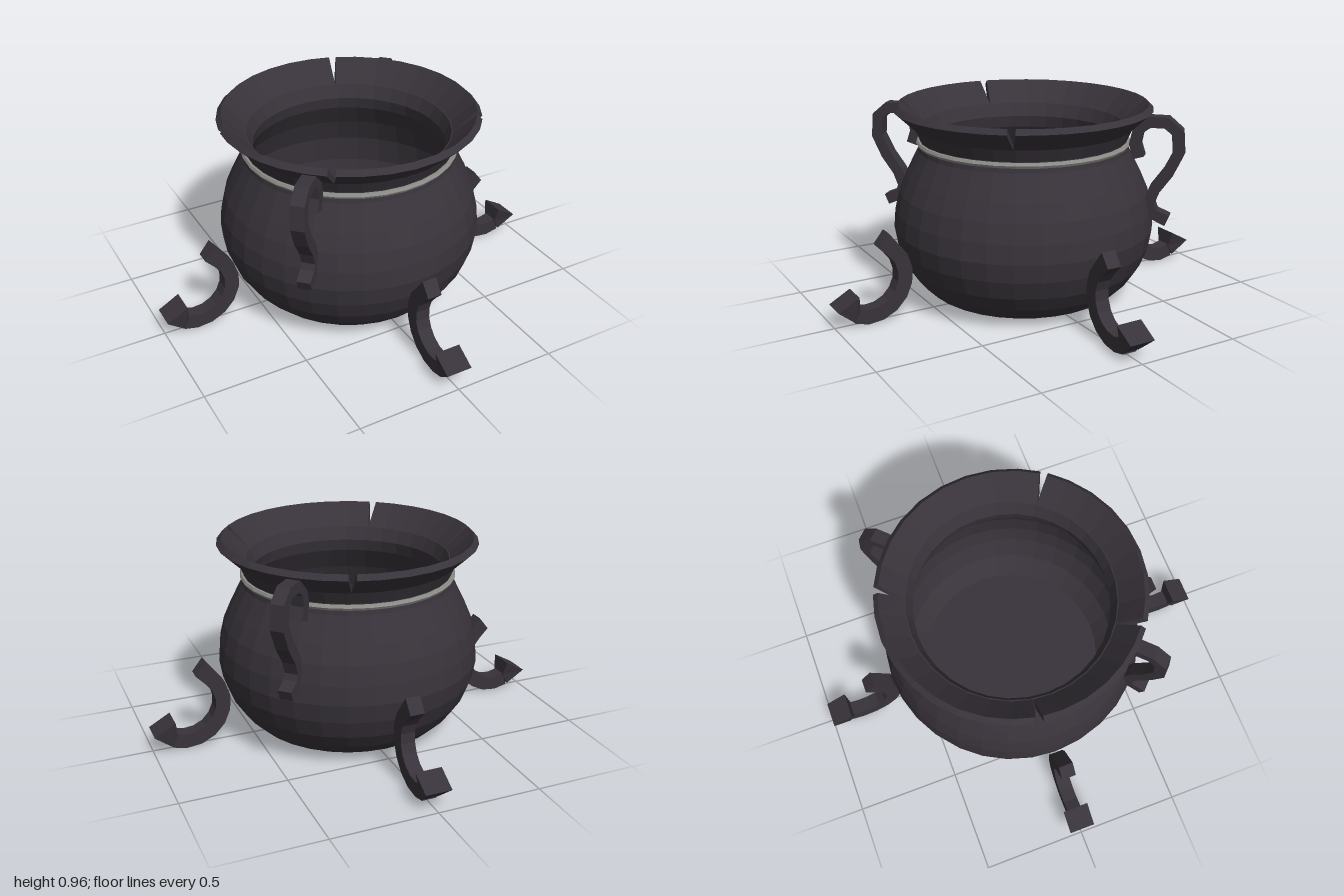
import * as THREE from 'three';

const iron = new THREE.MeshStandardMaterial({ color: 0x38333a, flatShading: true });
const steel = new THREE.MeshStandardMaterial({ color: 0x8c8c88, flatShading: true });

// Skin a row of four-cornered sections (corners run counter-clockwise about the path) and cap both ends
function loft(sections) {
  const pos = [];
  const quad = (a, b, c, d) => [a, b, c, a, c, d].forEach((p) => pos.push(...p));
  for (let i = 0; i + 1 < sections.length; i++) {
    const s = sections[i], t = sections[i + 1];
    for (let k = 0; k < 4; k++) quad(s[k], s[(k + 1) % 4], t[(k + 1) % 4], t[k]);
  }
  const [a, b, c, d] = sections[0];
  quad(d, c, b, a);
  quad(...sections[sections.length - 1]);
  const geometry = new THREE.BufferGeometry();
  geometry.setAttribute('position', new THREE.Float32BufferAttribute(pos, 3));
  geometry.computeVertexNormals();
  return geometry;
}

// Section across the XY plane between a left edge and a right edge
const section = (l, r, w) => [[...l, -w], [...l, w], [...r, w], [...r, -w]];

// Rectangular bar along a 2D path
function barSections(path, halfThick, halfWide) {
  return path.map(([x, y], i) => {
    const p = path[Math.max(i - 1, 0)], q = path[Math.min(i + 1, path.length - 1)];
    const len = Math.hypot(q[0] - p[0], q[1] - p[1]);
    const nx = (-(q[1] - p[1]) / len) * halfThick, ny = ((q[0] - p[0]) / len) * halfThick;
    return section([x + nx, y + ny], [x - nx, y - ny], halfWide);
  });
}

function add(group, name, geometry, material = iron, angle = 0) {
  const mesh = new THREE.Mesh(geometry, material);
  mesh.name = name;
  mesh.rotation.y = angle;
  group.add(mesh);
  return mesh;
}

export function createModel() {
  const model = new THREE.Group();
  model.name = 'cauldron';

  // Hollow pot: outside from the base up, then inside down to the floor
  const profile = [
    [0, 0.03], [0.45, 0.03], [0.475, 0.045], [0.535, 0.105], [0.585, 0.18], [0.62, 0.27],
    [0.635, 0.36], [0.627, 0.45], [0.605, 0.54], [0.57, 0.62], [0.535, 0.69], [0.51, 0.74],
    [0.5, 0.79], [0.53, 0.855],
    [0.485, 0.855], [0.458, 0.79], [0.47, 0.73], [0.53, 0.62], [0.575, 0.5], [0.59, 0.36],
    [0.575, 0.26], [0.53, 0.15], [0.45, 0.065], [0, 0.065],
  ].map(([r, y]) => new THREE.Vector2(r, y));
  add(model, 'pot', new THREE.LatheGeometry(profile, 32));

  // Flared rim in four arcs, with a V-shaped crack between neighbours
  const cracks = [0.96, 2.78, 4.55, 5.66];
  const rim = [[0.598, 0.96, 1], [0.622, 0.937, 1], [0.53, 0.85, 0], [0.485, 0.85, 0]];
  const crackHalf = 0.03;
  cracks.forEach((start, i) => {
    const end = i < 3 ? cracks[i + 1] : cracks[0] + Math.PI * 2;
    const steps = Math.round((end - start) / (Math.PI / 16));
    const sections = [];
    for (let s = 0; s <= steps; s++) {
      const gap = s === 0 ? crackHalf : s === steps ? -crackHalf : 0;
      sections.push(rim.map(([r, y, open]) => {
        const a = start + ((end - start) * s) / steps + gap * open;
        return [r * Math.sin(a), y, r * Math.cos(a)];
      }));
    }
    add(model, 'rim', loft(sections));
  });

  // Bright band around the neck
  const band = add(model, 'neckBand', new THREE.TorusGeometry(0.504, 0.014, 6, 32).rotateX(Math.PI / 2), steel);
  band.position.y = 0.775;

  // Hooked legs, each ending in a flared foot
  const arc = [];
  for (let i = 0; i <= 9; i++) {
    const a = THREE.MathUtils.degToRad(112 + (182 * i) / 9);
    arc.push([0.83 + 0.176 * Math.cos(a), 0.215 + 0.176 * Math.sin(a)]);
  }
  const legBar = barSections(arc, 0.036, 0.035);
  legBar[0] = section([0.78, 0.365], [0.73, 0.428], 0.035);
  const leg = loft(legBar);
  const foot = loft([
    section([0.885, 0.08], [0.915, 0.028], 0.042),
    section([0.896, 0.157], [0.998, 0.1], 0.063),
  ]);
  for (let i = 0; i < 4; i++) {
    add(model, 'leg', leg, iron, (i * Math.PI) / 2);
    add(model, 'foot', foot, iron, (i * Math.PI) / 2);
  }

  // S-shaped handles on opposite diagonals, hooked around the rim
  const handle = loft(barSections([
    [0.565, 0.725], [0.545, 0.79], [0.56, 0.86], [0.61, 0.898], [0.69, 0.898], [0.742, 0.855],
    [0.75, 0.755], [0.705, 0.66], [0.645, 0.575], [0.62, 0.505], [0.64, 0.455], [0.71, 0.425],
  ], 0.027, 0.032));
  for (const a of [Math.PI / 4, (5 * Math.PI) / 4]) add(model, 'handle', handle, iron, a);

  return model;
}
